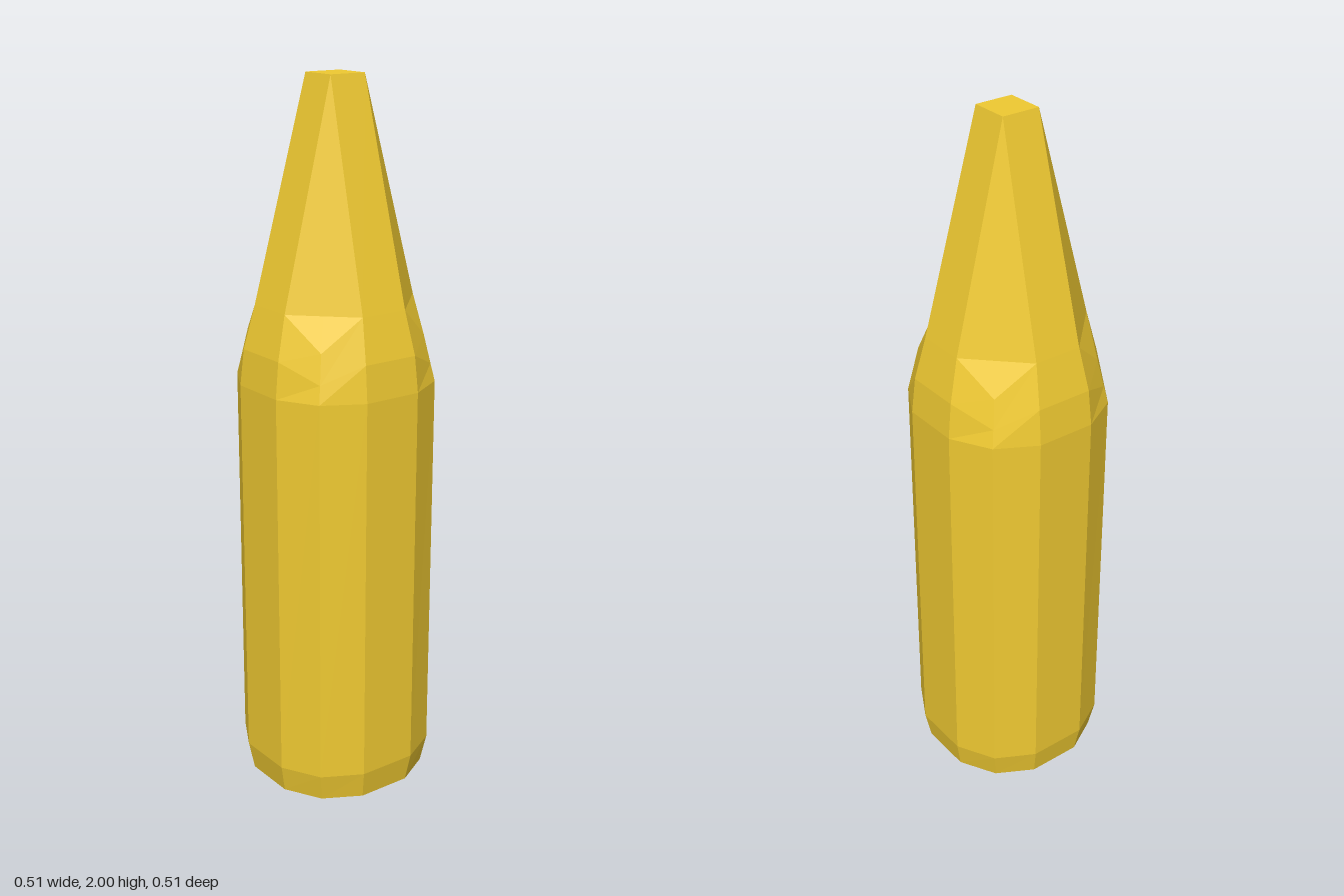
import * as THREE from 'three';

const yellow = new THREE.MeshStandardMaterial({ color: 0xf0ca32, flatShading: true });
const grey = new THREE.MeshStandardMaterial({ color: 0x888888, flatShading: true });

// Twelve-sided section: side edges (a, b) at height y, corner points (c, c) at height yc
function ring(a, b, c, y, yc = y) {
  const points = [];
  let quarter = [[a, y, b], [c, yc, c], [b, y, a]];
  for (let q = 0; q < 4; q++) {
    quarter.forEach(p => points.push(new THREE.Vector3(...p)));
    quarter = quarter.map(([x, h, z]) => [z, h, -x]);
  }
  return points;
}

// Faceted mesh made from triangles, skipping collapsed ones
function facets(name, triangles, material) {
  const solid = triangles.filter(t => new THREE.Triangle(...t).getArea() > 1e-7);
  const geometry = new THREE.BufferGeometry().setFromPoints(solid.flat());
  geometry.computeVertexNormals();
  const mesh = new THREE.Mesh(geometry, material);
  mesh.name = name;
  return mesh;
}

// Skin between successive rings, bottom to top
function loft(rings) {
  const triangles = [];
  for (let r = 0; r < rings.length - 1; r++) {
    const low = rings[r], high = rings[r + 1];
    for (let i = 0; i < 12; i++) {
      const j = (i + 1) % 12;
      triangles.push([low[i], low[j], high[j]], [low[i], high[j], high[i]]);
    }
  }
  return triangles;
}

function cap(points, up) {
  const y = points[0].y;
  const centre = new THREE.Vector3(0, y, 0);
  return points.map((p, i) => {
    const next = points[(i + 1) % points.length];
    return up ? [centre, p, next] : [centre, next, p];
  });
}

export function createModel() {
  const group = new THREE.Group();
  group.name = 'pointedCartridge';

  const base = ring(0.078, 0.238, 0.181, 0);
  const neck = ring(0.07, 0.215, 0.1425, 1.4);
  const tip = ring(0.055, 0.055, 0.055, 2);

  // Casing with a bevelled foot and rounded shoulder
  group.add(facets('casing', loft([
    base,
    ring(0.085, 0.253, 0.194, 0.08),
    ring(0.085, 0.256, 0.195, 1.18),
    ring(0.082, 0.245, 0.186, 1.28, 1.23),
    ring(0.07, 0.215, 0.172, 1.4, 1.31),
    neck,
  ]), yellow));

  // Tapered point with a square flat end
  group.add(facets('point', [...loft([neck, tip]), ...cap(tip, true)], yellow));

  // Flat underside
  group.add(facets('basePlate', cap(base, false), grey));

  return group;
}
